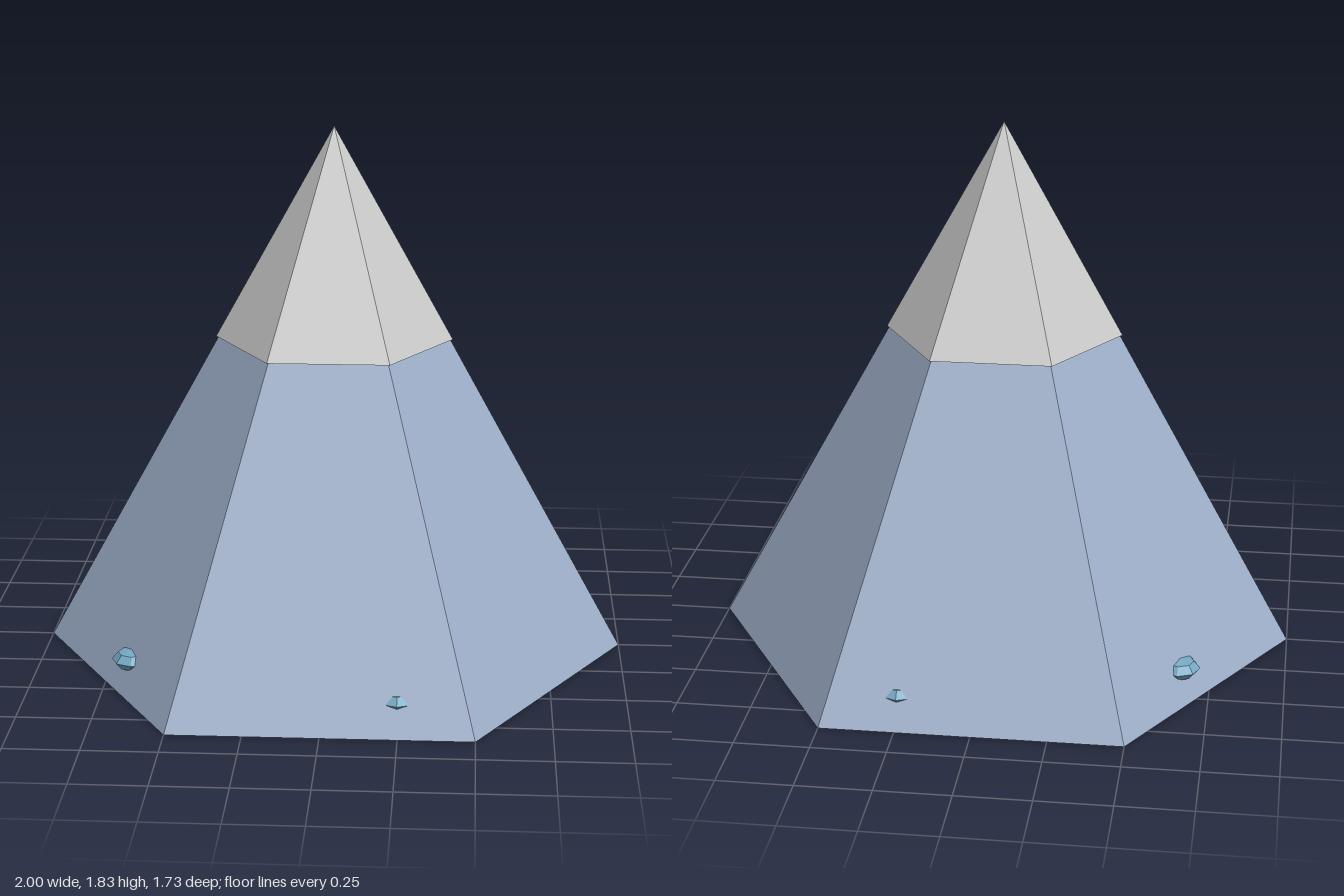
import * as THREE from 'three';

const material = (color) => new THREE.MeshStandardMaterial({ color, flatShading: true });

// Six-sided cone standing on height y, with corners on the x axis
function hexCone(name, radius, bottom, top, mat) {
  const geometry = new THREE.ConeGeometry(radius, top - bottom, 6);
  geometry.rotateY(Math.PI / 6);
  geometry.translate(0, (bottom + top) / 2, 0);
  const mesh = new THREE.Mesh(geometry, mat);
  mesh.name = name;
  return mesh;
}

export function createModel() {
  const model = new THREE.Group();
  model.name = 'mountain';

  // Blue slopes and the slightly overhanging pale peak
  model.add(hexCone('slopes', 1, 0, 1.82, material(0x9eafc9)));
  model.add(hexCone('peakCap', 0.405, 1.1, 1.83, material(0xcccccc)));

  // Flattened stones half sunk in the slopes, a fifth of a turn apart
  const stoneGeometry = new THREE.SphereGeometry(0.073, 8, 4);
  stoneGeometry.scale(1, 0.48, 1);
  const stoneMaterial = material(0x76a9c4);
  for (let i = 1; i < 5; i++) {
    const angle = (i / 5) * Math.PI * 2;
    const stone = new THREE.Mesh(stoneGeometry, stoneMaterial);
    stone.name = 'stone' + i;
    stone.position.set(Math.cos(angle) * 0.8, 0.1, Math.sin(angle) * 0.8);
    model.add(stone);
  }
  return model;
}
